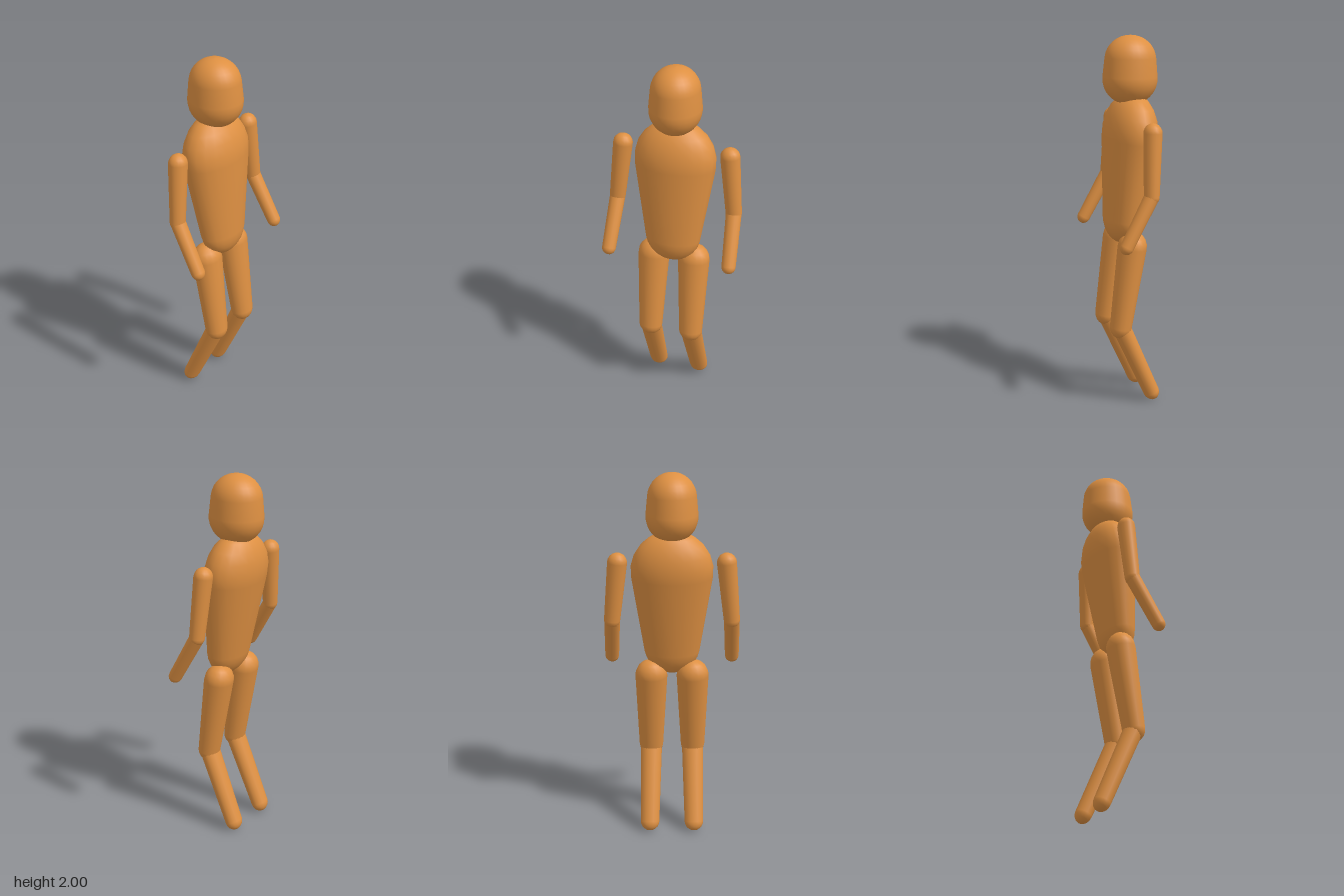
import * as THREE from 'three';

const clay = new THREE.MeshStandardMaterial({ color: 0xde9042 });
clay.name = 'orange clay';

// Tapered capsule between two points; depth squashes its cross-section in z.
function capsule(name, a, b, ra, rb, depth, sides = 16, rows = 5) {
  const start = new THREE.Vector3(...a), end = new THREE.Vector3(...b);
  const axis = end.clone().sub(start);
  const length = axis.length();
  const tilt = Math.asin((ra - rb) / length); // where the cone meets both caps
  const points = [];
  const arc = (centre, r, from, to) => {
    for (let i = 0; i <= rows; i++) {
      const t = from + (to - from) * i / rows;
      points.push(new THREE.Vector2(Math.max(0, r * Math.cos(t)), centre + r * Math.sin(t)));
    }
  };
  arc(0, ra, -Math.PI / 2, tilt);
  arc(length, rb, tilt, Math.PI / 2);
  const mesh = new THREE.Mesh(new THREE.LatheGeometry(points, sides), clay);
  mesh.name = name;
  mesh.scale.z = depth;
  mesh.position.copy(start);
  mesh.quaternion.setFromUnitVectors(new THREE.Vector3(0, 1, 0), axis.normalize());
  return mesh;
}

export function createModel() {
  const model = new THREE.Group();
  model.name = 'mannequin';

  // Body, listed from the lower to the upper end
  model.add(capsule('torso', [0, 1.05, 0.03], [0, 1.487, -0.016], 0.15, 0.217, 0.62, 20, 6));
  model.add(capsule('head', [0, 1.775, -0.018], [0, 1.873, -0.02], 0.136, 0.127, 1.07, 28, 8));

  // Limbs, mirrored for each side
  for (const [side, s] of [['left', 1], ['right', -1]]) {
    const arm = new THREE.Group();
    arm.name = side + 'Arm';
    const elbow = [s * 0.318, 1.215, -0.01];
    arm.add(
      capsule('upperArm', elbow, [s * 0.285, 1.534, -0.028], 0.043, 0.052, 0.92),
      capsule('forearm', [s * 0.33, 0.966, 0.13], elbow, 0.038, 0.042, 0.92)
    );

    const leg = new THREE.Group();
    leg.name = side + 'Leg';
    const knee = [s * 0.116, 0.455, 0.08];
    leg.add(
      capsule('thigh', knee, [s * 0.112, 0.897, 0.013], 0.066, 0.087, 0.88),
      capsule('shin', [s * 0.123, 0.055, -0.095], knee, 0.052, 0.06, 0.84)
    );
    model.add(arm, leg);
  }
  return model;
}
